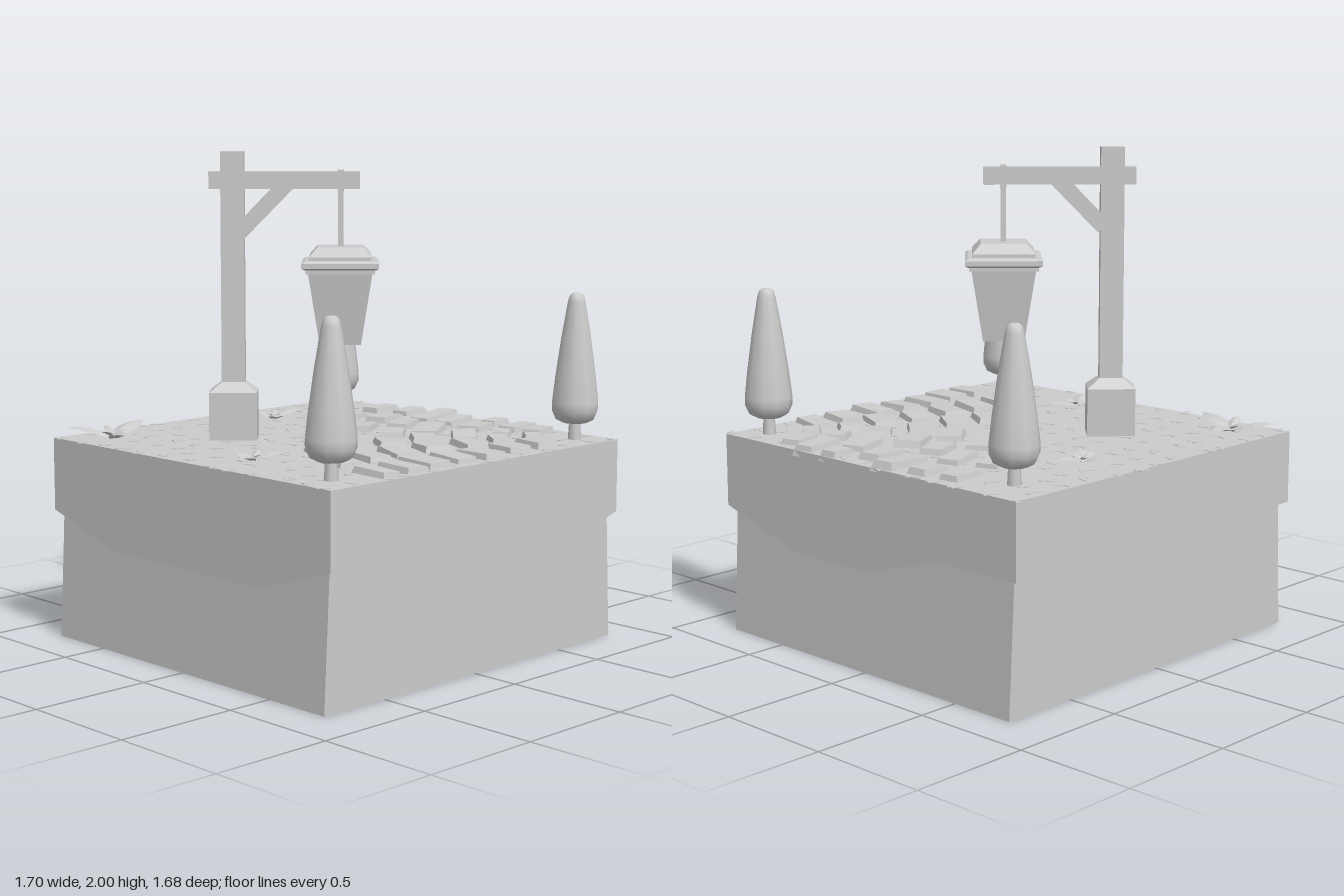
import * as THREE from 'three';

const flat = new THREE.MeshStandardMaterial({ color: 0xcccccc, flatShading: true });
const smooth = new THREE.MeshStandardMaterial({ color: 0xcccccc });
const thin = new THREE.MeshStandardMaterial({ color: 0xcccccc, flatShading: true, side: THREE.DoubleSide });
const GROUND = 0.83;

function add(parent, name, geometry, material, x = 0, y = 0, z = 0, ry = 0) {
  const mesh = new THREE.Mesh(geometry, material);
  mesh.name = name;
  mesh.position.set(x, y, z);
  mesh.rotation.y = ry;
  parent.add(mesh);
  return mesh;
}

// Box standing on y = 0 whose top has its own width and depth
function taperBox(w0, d0, w1, d1, h) {
  const g = new THREE.BoxGeometry(1, h, 1).translate(0, h / 2, 0);
  const p = g.attributes.position;
  for (let i = 0; i < p.count; i++) {
    const top = p.getY(i) > h / 2;
    p.setX(i, p.getX(i) * (top ? w1 : w0));
    p.setZ(i, p.getZ(i) * (top ? d1 : d0));
  }
  return g;
}

function extrude(points, depth) {
  const shape = new THREE.Shape(points.map(([x, y]) => new THREE.Vector2(x, y)));
  return new THREE.ExtrudeGeometry(shape, { depth, bevelEnabled: false });
}

function lathe(points, sides) {
  return new THREE.LatheGeometry(points.map(([r, y]) => new THREE.Vector2(r, y)), sides);
}

// Small seeded generator
function seeded(seed) {
  return () => (seed = (seed * 16807) % 2147483647) / 2147483647;
}

// Arched leaf along +x, one unit long, folded along its middle
function leafGeometry() {
  const g = new THREE.PlaneGeometry(1, 1, 4, 2);
  const p = g.attributes.position;
  const widths = [0.12, 0.34, 0.42, 0.28, 0.01], rise = [0, 0.13, 0.2, 0.22, 0.19];
  for (let i = 0; i < p.count; i++) {
    const t = p.getX(i) + 0.5, s = p.getY(i), k = Math.round(t * 4);
    p.setXYZ(i, t, rise[k] - Math.abs(s) * widths[k] * 0.3, -s * widths[k]);
  }
  return g;
}

function buildGround(root) {
  add(root, 'soilBlock', taperBox(1.577, 1.64, 1.577, 1.585, 0.54), flat, 0.008, 0, -0.01);
  add(root, 'grassSlab', new THREE.BoxGeometry(1.64, 0.3, 1.635), flat, 0.005, 0.68, -0.0125);
  // Skirts hanging down around the soil
  const front = [[-0.815, 0.53], [-0.42, 0.41], [0.44, 0.41], [0.825, 0.53]];
  const side = [[-0.4, 0.53], [0, 0.41], [0.43, 0.41], [0.83, 0.53]];
  const back = [[-0.43, 0.53], [0, 0.41], [0.4, 0.41], [0.825, 0.53]];
  add(root, 'frontSkirt', extrude(front, 0.03), flat, 0, 0, 0.775);
  add(root, 'backSkirt', extrude(back, 0.03), flat, 0, 0, -0.83);
  add(root, 'leftSkirt', extrude(side, 0.03), flat, 0.795, 0, 0, Math.PI / 2);
  add(root, 'rightSkirt', extrude(side, 0.03), flat, -0.815, 0, 0, Math.PI / 2);

  // Flat grass tufts on a jittered grid
  const rnd = seeded(17);
  const tuft = extrude([[-0.03, -0.012], [0, 0.004], [0.03, -0.012], [0.026, 0.012],
    [0.012, 0.01], [0, 0.028], [-0.012, 0.01], [-0.026, 0.012]], 0.002).rotateX(-Math.PI / 2);
  for (let i = 0; i < 13; i++) {
    for (let j = 0; j < 13; j++) {
      add(root, 'grassTuft', tuft, flat, -0.79 + i * 0.132 + (rnd() - 0.5) * 0.06, GROUND,
        -0.8 + j * 0.131 + (rnd() - 0.5) * 0.06, rnd() * 6.28);
    }
  }
}

// Paving stones curving round one back corner: x, z, length, width in hundredths
function buildPath(root) {
  const stones = [
    -41, -70, 17, 10, -26, -73, 15, 10, -9, -71, 24, 11, 6, -67, 19, 11, 21, -77, 12, 9, 24, -61, 18, 12,
    37, -73, 20, 10, 49, -72, 16, 10, 43, -56, 12, 9, 58, -58, 11, 9, 70, -46, 18, 11, -35, -45, 19, 11,
    -20, -51, 19, 11, -3, -45, 18, 11, 15, -42, 21, 13, 37, -40, 18, 12, 53, -43, 12, 9, 69, -31, 17, 12,
    -23, -21, 19, 10, -9, -27, 19, 11, 11, -24, 18, 12, 30, -23, 16, 12, 53, -25, 20, 11, 28, -5, 17, 12,
    47, -9, 17, 12, 71, -12, 20, 12, 24, 10, 17, 12, 46, 8, 20, 12, 69, 2, 19, 11, 68, 17, 21, 12,
    46, 24, 20, 11, 24, 29, 18, 11, 8, 18, 11, 8, 71, 32, 19, 12, 45, 40, 21, 11, 71, 46, 19, 10];
  for (let i = 0; i < stones.length; i += 4) {
    const [x, z, l, w] = stones.slice(i, i + 4).map((v) => v / 100);
    const angle = Math.atan2(x - 0.79, z + 0.81);
    const g = taperBox(l, w, l - 0.025, w - 0.025, 0.045);
    const stone = add(root, 'pavingStone', g, flat, x, GROUND - 0.022, z, angle);
    stone.rotation.x = Math.sin(i * 1.7) * 0.05;
    stone.rotation.z = Math.sin(i * 2.9) * 0.04;
  }
}

function buildTrees(root) {
  const crown = lathe([[0, 0.9], [0.05, 0.9], [0.08, 0.915], [0.096, 0.95], [0.097, 0.985], [0.085, 1.09],
    [0.062, 1.25], [0.037, 1.395], [0.03, 1.42], [0.018, 1.43], [0, 1.432]], 10);
  const trunk = new THREE.CylinderGeometry(0.022, 0.028, 0.1, 8);
  for (const [x, z] of [[-0.635, -0.65], [0.7, -0.705], [0.68, 0.662]]) {
    const tree = new THREE.Group();
    tree.name = 'tree';
    tree.position.set(x, 0, z);
    add(tree, 'treeCrown', crown, smooth);
    add(tree, 'treeTrunk', trunk, smooth, 0, 0.87, 0);
    root.add(tree);
  }
}

// Low plants: three long leaves (direction in x, z) with short ones between
function buildPlants(root) {
  const leaf = leafGeometry();
  const plants = [
    [-0.57, -0.2, [[0.01, -0.145], [-0.13, 0.01], [0.12, 0.095]]],
    [-0.635, 0.64, [[-0.075, -0.22], [-0.17, 0.105], [0.2, 0.07]]],
    [0.165, 0.58, [[0.055, -0.11], [-0.13, 0.01], [0.07, 0.14]]]];
  for (const [x, z, leaves] of plants) {
    for (const [dx, dz] of leaves) {
      const length = Math.hypot(dx, dz), angle = Math.atan2(-dz, dx);
      add(root, 'longLeaf', leaf, thin, x, GROUND, z, angle).scale.setScalar(length);
      const small = add(root, 'shortLeaf', leaf, thin, x, GROUND + 0.01, z, angle + Math.PI);
      small.scale.set(length * 0.45, length * 0.7, length * 0.5);
    }
  }
}

// Lamp post turned diagonally, with the arm along its own +x
function buildLamp(root) {
  const lamp = new THREE.Group();
  lamp.name = 'lampPost';
  lamp.position.set(-0.297, 0, 0.272);
  lamp.rotation.y = Math.PI / 4;
  root.add(lamp);
  add(lamp, 'postBase', new THREE.BoxGeometry(0.195, 0.2, 0.14), flat, 0, 0.925, 0);
  add(lamp, 'postCollar', taperBox(0.195, 0.14, 0.095, 0.07, 0.04), flat, 0, 1.025, 0);
  add(lamp, 'post', new THREE.BoxGeometry(0.095, 1, 0.07), flat, 0, 1.5, 0);
  add(lamp, 'arm', new THREE.BoxGeometry(0.61, 0.07, 0.06), flat, 0.21, 1.885, 0.008);
  add(lamp, 'brace', extrude([[0.03, 1.63], [0.255, 1.86], [0.165, 1.86], [0.03, 1.72]], 0.04),
    flat, 0, 0, -0.015);

  const lantern = new THREE.Group();
  lantern.name = 'lantern';
  lantern.position.set(0.437, 0, 0.01);
  lamp.add(lantern);
  add(lantern, 'hangerCuff', new THREE.BoxGeometry(0.025, 0.09, 0.068), flat, 0, 1.882, 0);
  add(lantern, 'hangerRod', new THREE.BoxGeometry(0.022, 0.26, 0.022), flat, 0, 1.735, 0);
  add(lantern, 'lanternRoof', lathe([[0, 1.53], [0.2, 1.53], [0.219, 1.538], [0.219, 1.558], [0.2, 1.566],
    [0.178, 1.567], [0.178, 1.582], [0.13, 1.62], [0, 1.62]], 4), flat, 0, 0, 0, Math.PI / 4);
  add(lantern, 'lanternBody', lathe([[0, 1.225], [0.118, 1.225], [0.182, 1.515], [0.196, 1.515],
    [0.196, 1.535], [0, 1.535]], 4), flat, 0, 0, 0, Math.PI / 4);
}

export function createModel() {
  const root = new THREE.Group();
  root.name = 'gardenDiorama';
  buildGround(root);
  buildPath(root);
  buildTrees(root);
  buildPlants(root);
  buildLamp(root);
  return root;
}
